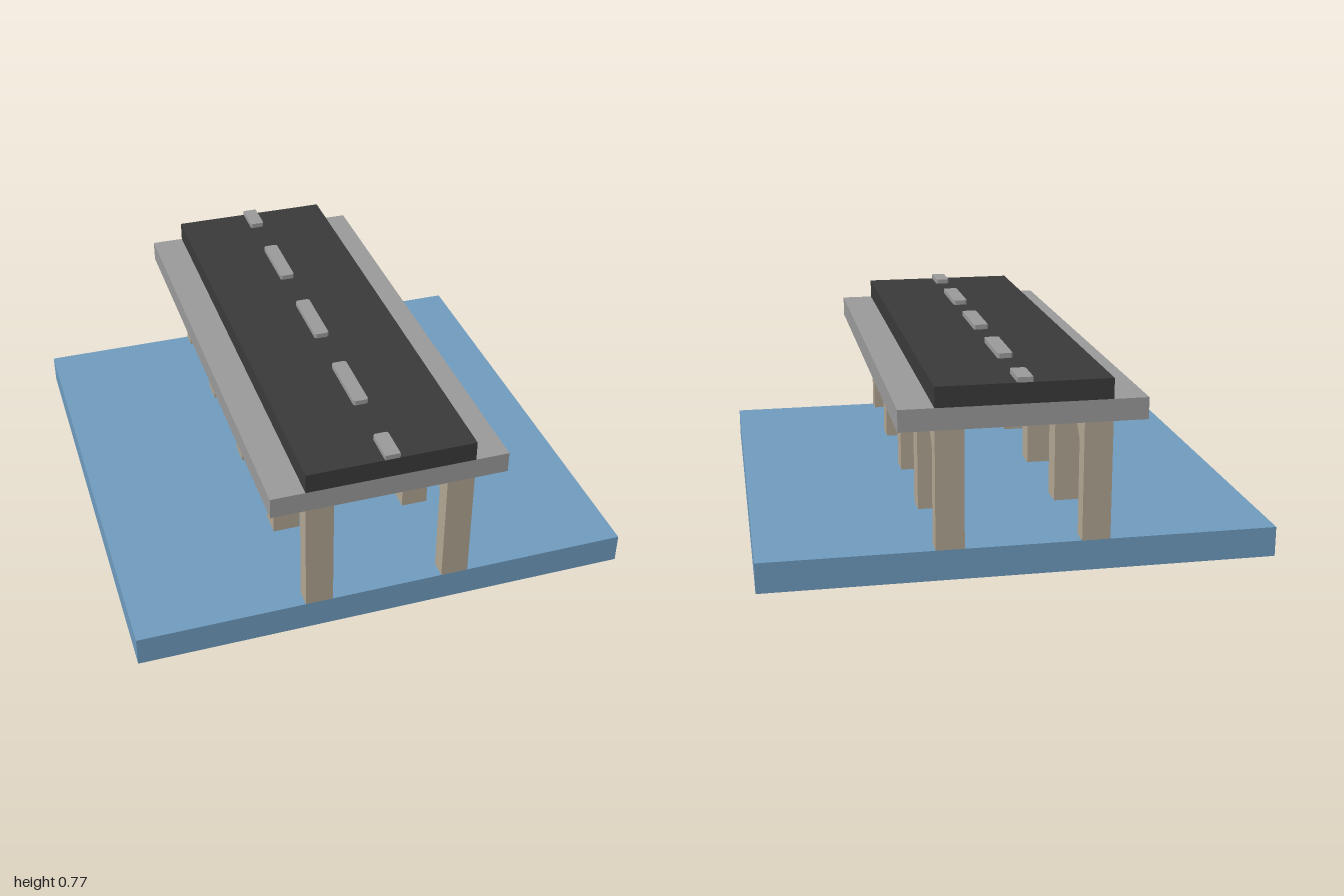
import * as THREE from 'three';

export function createModel() {
  const model = new THREE.Group();
  const material = (name, color) => {
    const m = new THREE.MeshStandardMaterial({ color, flatShading: true });
    m.name = name;
    return m;
  };
  const water = material('water blue', 0x6e9abd);
  const concrete = material('concrete grey', 0x999999);
  const asphalt = material('asphalt', 0x393939);
  const stone = material('pillar stone', 0xb0a492);

  const add = (name, geometry, mat, x = 0, y = 0, z = 0) => {
    const mesh = new THREE.Mesh(geometry, mat);
    mesh.name = name;
    mesh.position.set(x, y, z);
    model.add(mesh);
  };
  const slab = (name, width, bottom, top, mat) =>
    add(name, new THREE.BoxGeometry(width, top - bottom, 2), mat, 0, (bottom + top) / 2, 0);

  // Water, deck and road are stacked slabs
  slab('water', 2, 0, 0.12, water);
  slab('deck', 0.94, 0.585, 0.67, concrete);
  slab('road', 0.67, 0.67, 0.75, asphalt);

  // Pillar profile in (z, y), flared at the top and cut off at the model ends
  const pillarGeometry = (z) => {
    const clamp = (v) => Math.max(-1, Math.min(1, v));
    const half = Math.abs(z) === 1 ? 0.07 : 0.05;
    const points = [
      [z - half, 0.12], [z + half, 0.12], [z + half, 0.5],
      [z + 0.14, 0.585], [z - 0.14, 0.585], [z - half, 0.5],
    ].map(([pz, y]) => new THREE.Vector2(-clamp(pz), y));
    // Drop the corners that coincide after clamping
    const unique = points.filter((p, i) => !points.slice(0, i).some((q) => q.equals(p)));
    const geometry = new THREE.ExtrudeGeometry(new THREE.Shape(unique), { depth: 0.11, bevelEnabled: false });
    return geometry.translate(0, 0, -0.055).rotateY(Math.PI / 2);
  };
  for (const z of [-1, -0.5, 0, 0.5, 1]) {
    for (const side of [-1, 1]) {
      add(side > 0 ? 'leftPillar' : 'rightPillar', pillarGeometry(z), stone, side * 0.28);
    }
  }

  // Lane dashes with small clipped corners, half length at both ends
  const dashGeometry = (z0, z1) => {
    const w = 0.03, c = 0.007;
    const a = z0 === -1 ? 0 : c;
    const b = z1 === 1 ? 0 : c;
    const shape = new THREE.Shape([
      [-w + a, -z0], [-w, -z0 - a], [-w, -z1 + b], [-w + b, -z1],
      [w - b, -z1], [w, -z1 + b], [w, -z0 - a], [w - a, -z0],
    ].map(([x, y]) => new THREE.Vector2(x, y)));
    return new THREE.ExtrudeGeometry(shape, { depth: 0.02, bevelEnabled: false }).rotateX(-Math.PI / 2);
  };
  for (const z of [-1, -0.5, 0, 0.5, 1]) {
    add('laneDash', dashGeometry(Math.max(-1, z - 0.14), Math.min(1, z + 0.14)), concrete, 0, 0.75, 0);
  }
  return model;
}
